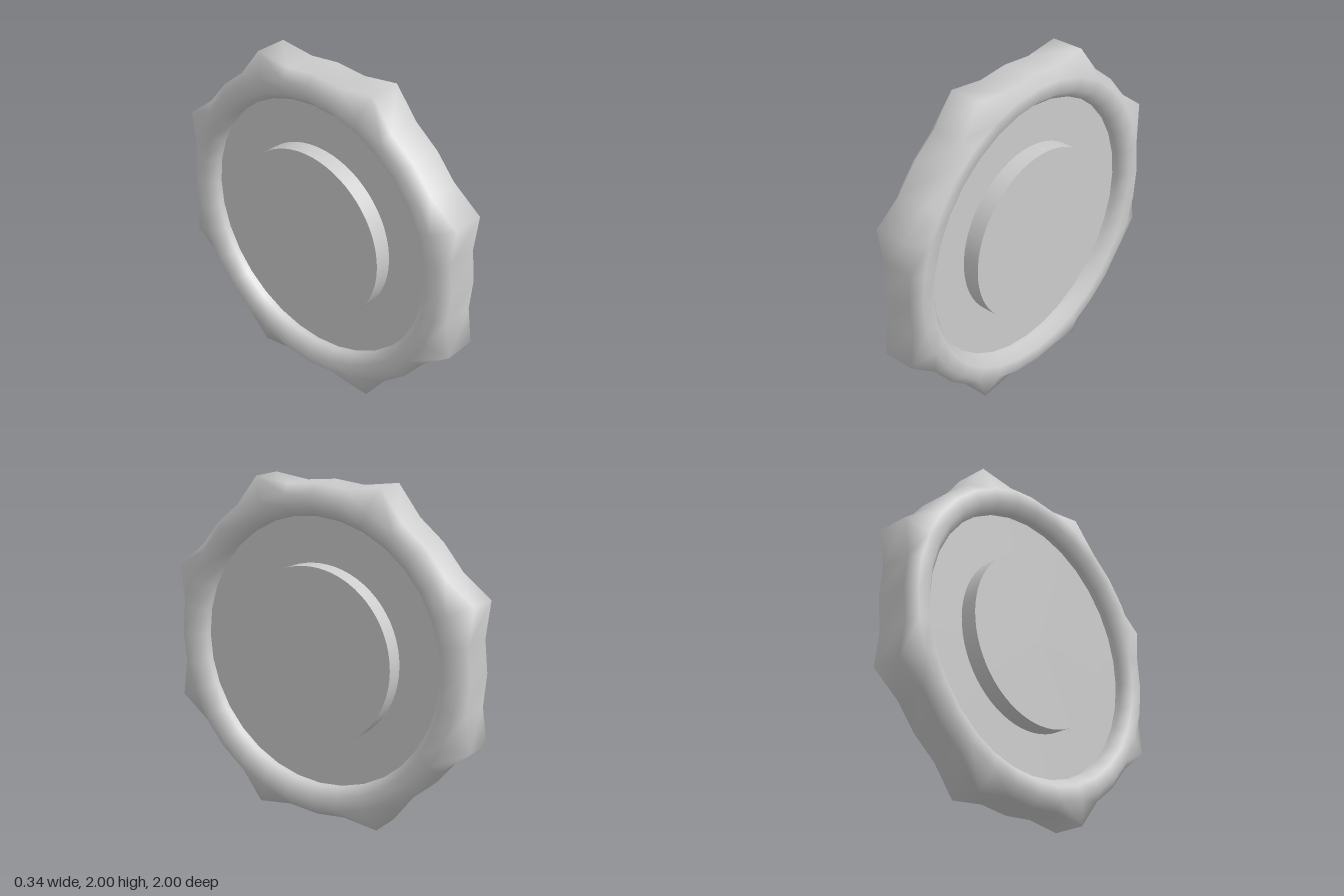
import * as THREE from 'three';

const SEGMENTS = 32;
const TIP_RADIUS = 1.082;

// Rounded rim section as [radius, x]; the first two points form the outer tread.
const RIM = [
  [0.99, -0.1], [0.99, 0.1], [0.935, 0.155], [0.855, 0.155],
  [0.805, 0.1], [0.805, -0.1], [0.855, -0.155], [0.935, -0.155],
];

// Sweep the section round the x axis, pulling the tread out to eight points.
function rimGeometry() {
  const positions = [], indices = [], n = RIM.length;
  for (let j = 0; j < SEGMENTS; j++) {
    const angle = (j / SEGMENTS) * Math.PI * 2;
    RIM.forEach(([radius, x], i) => {
      const r = i < 2 && j % 4 === 2 ? TIP_RADIUS : radius;
      positions.push(x, r * Math.cos(angle), r * Math.sin(angle));
    });
    const next = (j + 1) % SEGMENTS;
    for (let i = 0; i < n; i++) {
      const k = (i + 1) % n;
      const a = j * n + i, b = next * n + i, c = next * n + k, d = j * n + k;
      indices.push(a, b, d, b, c, d);
    }
  }
  const geometry = new THREE.BufferGeometry();
  geometry.setAttribute('position', new THREE.Float32BufferAttribute(positions, 3));
  geometry.setIndex(indices);
  geometry.computeVertexNormals();
  return geometry;
}

export function createModel() {
  const group = new THREE.Group();
  const material = new THREE.MeshStandardMaterial({ color: 0xcccccc });

  function add(name, geometry) {
    const mesh = new THREE.Mesh(geometry, material);
    mesh.name = name;
    mesh.position.y = 1;
    group.add(mesh);
  }
  const discGeometry = (radius, width, sides) =>
    new THREE.CylinderGeometry(radius, radius, width, sides).rotateZ(Math.PI / 2);

  add('pointedRim', rimGeometry());
  // Recessed plate filling the rim
  add('plate', discGeometry(0.81, 0.13, SEGMENTS));
  // Raised hub standing out on both sides
  add('hub', discGeometry(0.53, 0.34, 64));

  return group;
}
